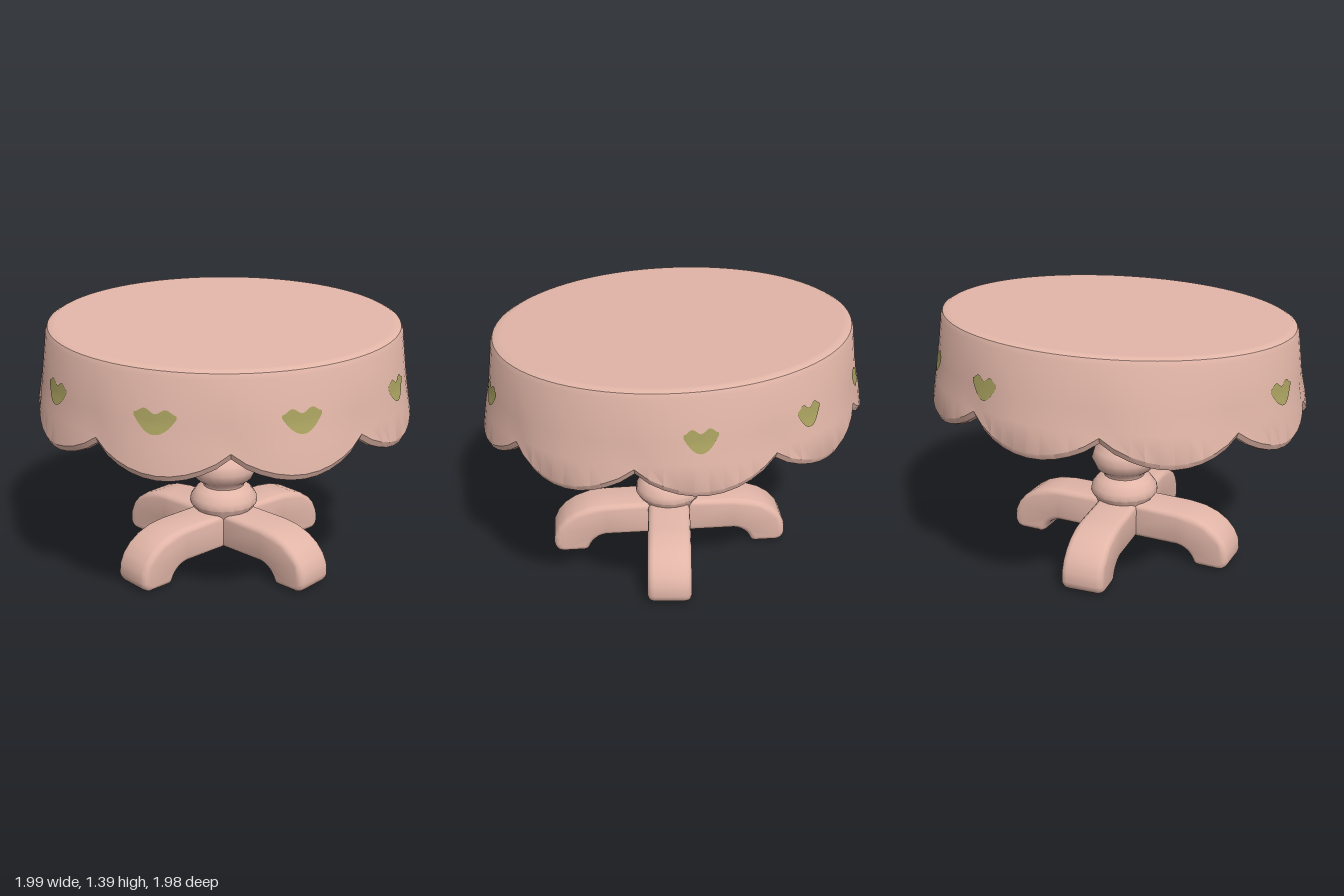
import * as THREE from 'three';
import { toCreasedNormals } from 'three/addons/utils/BufferGeometryUtils.js';

const RAD = Math.PI / 180;
const TILT = 0.055; // the top and cloth lean down towards the front
const SCALLOPS = 9;
const NOTCH = 2 * RAD; // angle of the first hem notch

// Point on the cloth at an angle measured from the front (+z) towards +x
function clothPoint(a, r, y) {
  const z = r * Math.cos(a) + 0.006;
  return [r * Math.sin(a) + 0.003, y - TILT * z, z];
}

// 0 at a hem notch, 1 in the middle of a scallop
const scallop = (a) => Math.pow(Math.abs(Math.sin((a - NOTCH) * SCALLOPS / 2)), 0.8);

// Cross-section of the cloth at one angle, from the top rim down to the inner wall
function clothSection(a) {
  const s = scallop(a);
  const hem = 0.945 - 0.113 * s;
  const r = 0.968 + 0.03 * s;
  return [
    [0.87, 1.345], [0.895, 1.345], [0.915, 1.335], [0.926, 1.31], [0.952, 1.1], [0.963 + 0.014 * s, 1.0],
    [r, hem + 0.035], [r - 0.014, hem + 0.006], [r - 0.035, hem], [r - 0.065, hem + 0.012],
    [0.875, 1.0], [0.85, 1.03],
  ];
}

// Ring sections joined into a skin, closed by a flat cap on the top;
// the second material group is the flat underside
function clothGeometry() {
  const n = SCALLOPS * 10;
  const rows = clothSection(0).length;
  const pos = [];
  const skin = [];
  const under = [];
  for (let i = 0; i < n; i++) {
    const a = NOTCH + (i / n) * Math.PI * 2;
    for (const [r, y] of clothSection(a)) pos.push(...clothPoint(a, r, y));
  }
  const top = n * rows;
  pos.push(...clothPoint(0, 0, 1.345), ...clothPoint(0, 0, 1.03));
  for (let i = 0; i < n; i++) {
    const p = i * rows;
    const q = ((i + 1) % n) * rows;
    skin.push(top, p, q);
    for (let j = 0; j < rows - 1; j++) {
      skin.push(p + j, p + j + 1, q + j + 1, p + j, q + j + 1, q + j);
    }
    under.push(top + 1, q + rows - 1, p + rows - 1);
  }
  const g = new THREE.BufferGeometry();
  g.setAttribute('position', new THREE.Float32BufferAttribute(pos, 3));
  g.setIndex([...skin, ...under]);
  const creased = toCreasedNormals(g, 35 * RAD);
  creased.clearGroups();
  creased.addGroup(0, skin.length, 0);
  creased.addGroup(skin.length, under.length, 1);
  return creased;
}

// Radius of the outer cloth wall at a height between the rim and the hem
function wallRadius(a, y) {
  const sec = clothSection(a);
  const [hi, lo] = y > 1.1 ? [sec[3], sec[4]] : [sec[4], sec[5]];
  return THREE.MathUtils.mapLinear(y, hi[1], lo[1], hi[0], lo[0]);
}

// Heart-like patch: a grid squeezed between two curves and wrapped on the cloth
function heartGeometry(angle, width) {
  const g = new THREE.PlaneGeometry(2, 1, 16, 6);
  const p = g.attributes.position;
  for (let i = 0; i < p.count; i++) {
    const u = p.getX(i);
    const upper = 0.034 + 0.024 * Math.sin(Math.PI * u) ** 2;
    const lower = -0.058 + 0.078 * Math.abs(u) ** 2;
    const y = 1.108 + THREE.MathUtils.lerp(lower, upper, p.getY(i) + 0.5);
    const a = angle + (u * width) / 2 / 0.95;
    p.setXYZ(i, ...clothPoint(a, wallRadius(a, y) + 0.004, y));
  }
  g.computeVertexNormals();
  return g;
}

function legGeometry() {
  const s = new THREE.Shape();
  s.moveTo(0, 0.1);
  s.lineTo(0.36, 0.1);
  s.quadraticCurveTo(0.43, 0.09, 0.455, 0.025);
  s.quadraticCurveTo(0.465, 0.005, 0.49, 0.005);
  s.lineTo(0.6, 0.005);
  s.quadraticCurveTo(0.645, 0.01, 0.652, 0.06);
  s.bezierCurveTo(0.66, 0.17, 0.55, 0.285, 0.36, 0.29);
  s.lineTo(0, 0.295);
  s.closePath();
  const depth = 0.16;
  const g = new THREE.ExtrudeGeometry(s, {
    depth, curveSegments: 6, bevelEnabled: true,
    bevelThickness: 0.035, bevelSize: 0.03, bevelOffset: -0.03, bevelSegments: 3,
  });
  g.translate(0, 0, -depth / 2);
  return toCreasedNormals(g, 50 * RAD);
}

export function createModel() {
  const model = new THREE.Group();
  const material = (name, color) => {
    const m = new THREE.MeshStandardMaterial({ color });
    m.name = name;
    return m;
  };
  const pink = material('dusty pink', 0xe2b6a8);
  const brown = material('shaded brown', 0x94716a);
  const green = material('olive green', 0xaaa260);

  const add = (parent, name, geometry, mat) => {
    const mesh = new THREE.Mesh(geometry, mat);
    mesh.name = name;
    parent.add(mesh);
    return mesh;
  };

  // Tablecloth over the round top, with the underside of the table
  add(model, 'tablecloth', clothGeometry(), [pink, brown]);

  // Painted hearts around the cloth: angle in degrees, width
  const hearts = new THREE.Group();
  hearts.name = 'hearts';
  const spots = [[-58, 0.2], [-19, 0.21], [22, 0.2], [62, 0.19], [140, 0.16], [174, 0.15], [206, 0.16]];
  for (const [deg, width] of spots) add(hearts, 'heart', heartGeometry(deg * RAD, width), green);
  model.add(hearts);

  // Pedestal: turned column and four curved legs
  const pedestal = new THREE.Group();
  pedestal.name = 'pedestal';
  pedestal.position.set(0, 0, 0.028);
  const profile = [
    [0, 0.12], [0.12, 0.12], [0.16, 0.29], [0.185, 0.325], [0.18, 0.36], [0.15, 0.4], [0.112, 0.42],
    [0.115, 0.435], [0.155, 0.465], [0.18, 0.52], [0.165, 0.57], [0.125, 0.61], [0.108, 0.63],
    [0.115, 0.65], [0.15, 0.665], [0.165, 0.69], [0.165, 1.1],
  ].map(([r, y]) => new THREE.Vector2(r, y));
  add(pedestal, 'column', toCreasedNormals(new THREE.LatheGeometry(profile, 20), 45 * RAD), pink);
  const leg = legGeometry();
  for (const deg of [42.5, 137.5, 222.5, 317.5]) {
    add(pedestal, 'leg', leg, pink).rotation.y = deg * RAD;
  }
  model.add(pedestal);
  return model;
}
